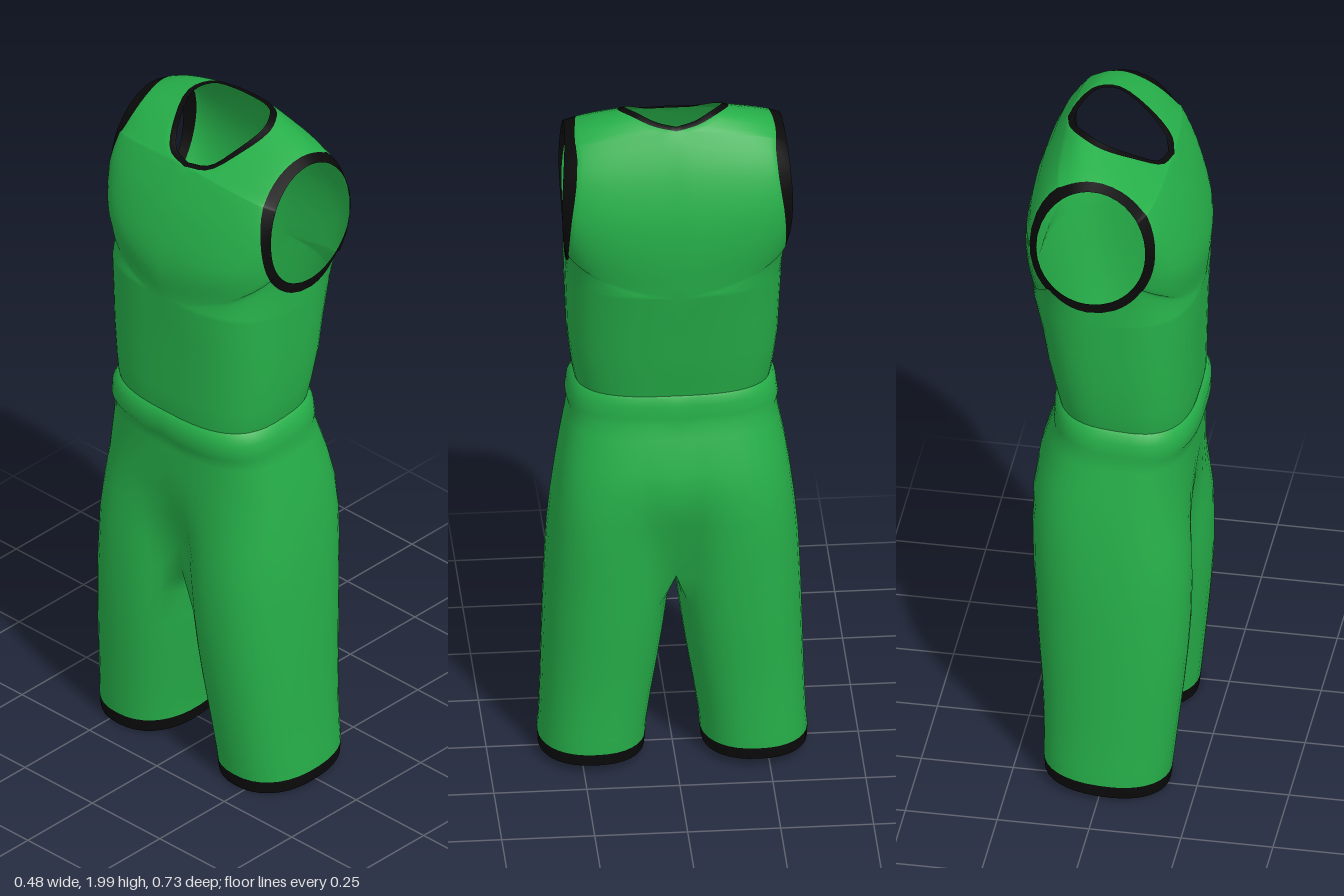
import * as THREE from 'three';
import { mergeVertices } from 'three/addons/utils/BufferGeometryUtils.js';

const V = (x, y, z) => new THREE.Vector3(x, y, z);
const lerp = THREE.MathUtils.lerp;
const soft = (v, e = 0.7) => Math.sign(v) * Math.abs(v) ** e; // boxy-oval rounding

const green = new THREE.MeshStandardMaterial({ color: 0x26af49, side: THREE.DoubleSide });
green.name = 'green cloth';
const black = new THREE.MeshStandardMaterial({ color: 0x0a0a0a, side: THREE.DoubleSide });
black.name = 'black trim';

// Collects quads for the +z half and mirrors them to the -z half
class Garment {
  constructor() { this.tris = [[], []]; }
  quad(a, b, c, d, trim) {
    const out = this.tris[trim ? 1 : 0];
    for (const p of [a, b, c, a, c, d]) out.push(p.x, p.y, p.z);
    for (const p of [a, c, b, a, d, c]) out.push(p.x, p.y, -p.z);
  }
  sheet(rows, closed, isTrim = () => false) {
    for (let i = 0; i < rows.length - 1; i++) {
      const n = rows[i].length;
      for (let j = 0; j < (closed ? n : n - 1); j++) {
        const k = (j + 1) % n;
        this.quad(rows[i][j], rows[i + 1][j], rows[i + 1][k], rows[i][k], isTrim(i));
      }
    }
  }
  mesh(name) {
    const [g, b] = this.tris;
    let geo = new THREE.BufferGeometry();
    geo.setAttribute('position', new THREE.Float32BufferAttribute(g.concat(b), 3));
    geo = mergeVertices(geo, 1e-4);
    geo.computeVertexNormals();
    geo.addGroup(0, g.length / 3, 0);
    geo.addGroup(g.length / 3, b.length / 3, 1);
    const m = new THREE.Mesh(geo, [green, black]);
    m.name = name;
    return m;
  }
}

// Half of an oval ring, from the chest side (-x) round to the back (+x)
function halfRing(y, xf, xb, rz, n, tilt) {
  return Array.from({ length: n + 1 }, (_, i) => {
    const a = (Math.PI * i) / n;
    const x = (xf + xb) / 2 - ((xb - xf) / 2) * soft(Math.cos(a));
    const z = i === 0 || i === n ? 0 : rz * soft(Math.sin(a));
    return V(x, y + tilt * x, z);
  });
}

function makeShirt() {
  const cloth = new Garment();
  const N = 28;
  // Lower body: [y, chest x, back x, half width, tilt]
  const body = [
    [1.5, -0.23, 0.226, 0.292, 0], [1.4, -0.225, 0.203, 0.288, 0], [1.3, -0.222, 0.186, 0.284, 0],
    [1.21, -0.22, 0.168, 0.274, 0.04], [1.16, -0.218, 0.158, 0.266, 0.08], [1.12, -0.21, 0.15, 0.255, 0.08],
  ].map(([y, xf, xb, rz, t]) => halfRing(y, xf, xb, rz, N, t));
  cloth.sheet(body, false);

  // Outer outline of the upper half: body ring, back seam, neckline, chest seam
  const sample = (pts, n) => new THREE.CatmullRomCurve3(pts).getPoints(n);
  const back = sample([V(0.226, 1.5, 0), V(0.24, 1.62, 0), V(0.235, 1.75, 0), V(0.197, 1.88, 0), V(0.145, 1.973, 0)], 10);
  const neck = sample([V(0.145, 1.973, 0), V(0.13, 1.982, 0.06), V(0.09, 1.995, 0.12), V(0.03, 1.982, 0.15),
    V(-0.06, 1.938, 0.12), V(-0.125, 1.896, 0.07), V(-0.145, 1.886, 0)], 20);
  const chest = sample([V(-0.145, 1.886, 0), V(-0.2, 1.77, 0), V(-0.24, 1.62, 0), V(-0.23, 1.5, 0)], 10);
  const outer = [...body[0], ...back.slice(1), ...neck.slice(1), ...chest.slice(1, -1)];

  // Neck binding
  cloth.sheet([neck, neck.map((p) => V(p.x * 0.88, p.y + 0.004, p.z * 0.87))], false, () => true);

  // Curved spokes from the armhole edge to the outline; the first step is the binding
  const STEPS = 10;
  const spokes = outer.map((o) => {
    const a = Math.atan2(o.y - 1.755, o.x - 0.03);
    const c = Math.cos(a), s = Math.sin(a);
    const r = 1 / Math.hypot(c / 0.147, s / 0.183);
    const arm = V(0.03 + r * c, 1.755 + r * s, 0.293 + 0.05 * r * c + 0.01 * c * c);
    const turn = THREE.MathUtils.clamp(1 - o.z / arm.z, 0, 1); // how far round the corner
    const ctrl = V(lerp(arm.x, o.x, 0.5 + 0.45 * turn), lerp(arm.y, o.y, 0.53), lerp(arm.z, o.z, 0.5 - 0.42 * turn));
    const curve = new THREE.QuadraticBezierCurve3(arm, ctrl, o);
    const t0 = Math.min(0.4, 0.014 / arm.distanceTo(ctrl));
    const pts = [curve.getPoint(0)];
    for (let k = 0; k <= STEPS; k++) pts.push(curve.getPoint(lerp(t0, 1, k / STEPS)));
    return pts;
  });
  const rows = spokes[0].map((_, i) => spokes.map((sp) => sp[i]));
  cloth.sheet(rows, true, (i) => i === 0);
  return cloth.mesh('tankTop');
}

function makeShorts() {
  const cloth = new Garment();
  const N = 28, INNER = 8, CROTCH = 0.59, A = (50 * Math.PI) / 180, ROUND = 0.88;
  // [y, chest x, back x, outer z, inner z, tilt]
  const table = [
    [1.15, -0.216, 0.154, 0.262, 0, 0.08], [1.142, -0.224, 0.16, 0.27, 0, 0.08],
    [1.12, -0.231, 0.166, 0.28, 0, 0.08], [1.085, -0.23, 0.168, 0.285, 0, 0.08],
    [1.065, -0.22, 0.168, 0.28, 0, 0.07], [1.03, -0.216, 0.18, 0.286, 0, 0.05],
    [0.95, -0.215, 0.208, 0.302, 0, 0], [0.87, -0.215, 0.223, 0.315, 0, 0],
    [0.78, -0.22, 0.222, 0.327, 0, 0], [0.68, -0.222, 0.21, 0.337, 0, 0],
    [CROTCH, -0.22, 0.2, 0.342, 0, 0], [0.5, -0.219, 0.195, 0.346, 0.01, 0],
    [0.4, -0.213, 0.187, 0.349, 0.023, 0], [0.3, -0.204, 0.178, 0.352, 0.038, 0],
    [0.2, -0.193, 0.172, 0.355, 0.055, 0.02], [0.1, -0.182, 0.17, 0.359, 0.07, 0.05],
    [0.057, -0.177, 0.169, 0.363, 0.073, 0.06], [0.022, -0.173, 0.166, 0.361, 0.077, 0.07],
  ];
  const rings = table.map(([y, xf, xb, zo, zi, tilt]) => {
    const leg = (a) => {
      const x = (xf + xb) / 2 - ((xb - xf) / 2) * soft(Math.cos(a), ROUND);
      return V(x, y + tilt * x, (zo + zi) / 2 + ((zo - zi) / 2) * soft(Math.sin(a), ROUND));
    };
    // Hip oval changes gradually into a leg section
    const s = THREE.MathUtils.smoothstep(0.95 - y, 0, 0.95 - CROTCH);
    const outside = halfRing(y, xf, xb, zo, N, tilt).map((p, i) => {
      p.lerp(leg(lerp(-A, Math.PI + A, i / N)), s);
      if (y >= CROTCH && (i === 0 || i === N)) p.z = 0;
      return p;
    });
    const inside = [];
    for (let k = 1; k < INNER; k++) {
      const p = leg(lerp(Math.PI + A, 2 * Math.PI - A, k / INNER));
      if (y >= CROTCH) p.z = 0;
      inside.push(p);
    }
    return { y, outside, loop: [...outside, ...inside] };
  });
  cloth.sheet(rings.filter((r) => r.y >= CROTCH).map((r) => r.outside), false);
  const legs = rings.filter((r) => r.y <= CROTCH).map((r) => r.loop);
  cloth.sheet(legs, true, (i) => i === legs.length - 2); // black hem
  return cloth.mesh('shorts');
}

export function createModel() {
  const group = new THREE.Group();
  group.name = 'sportsKit';
  group.add(makeShirt(), makeShorts());
  return group;
}
